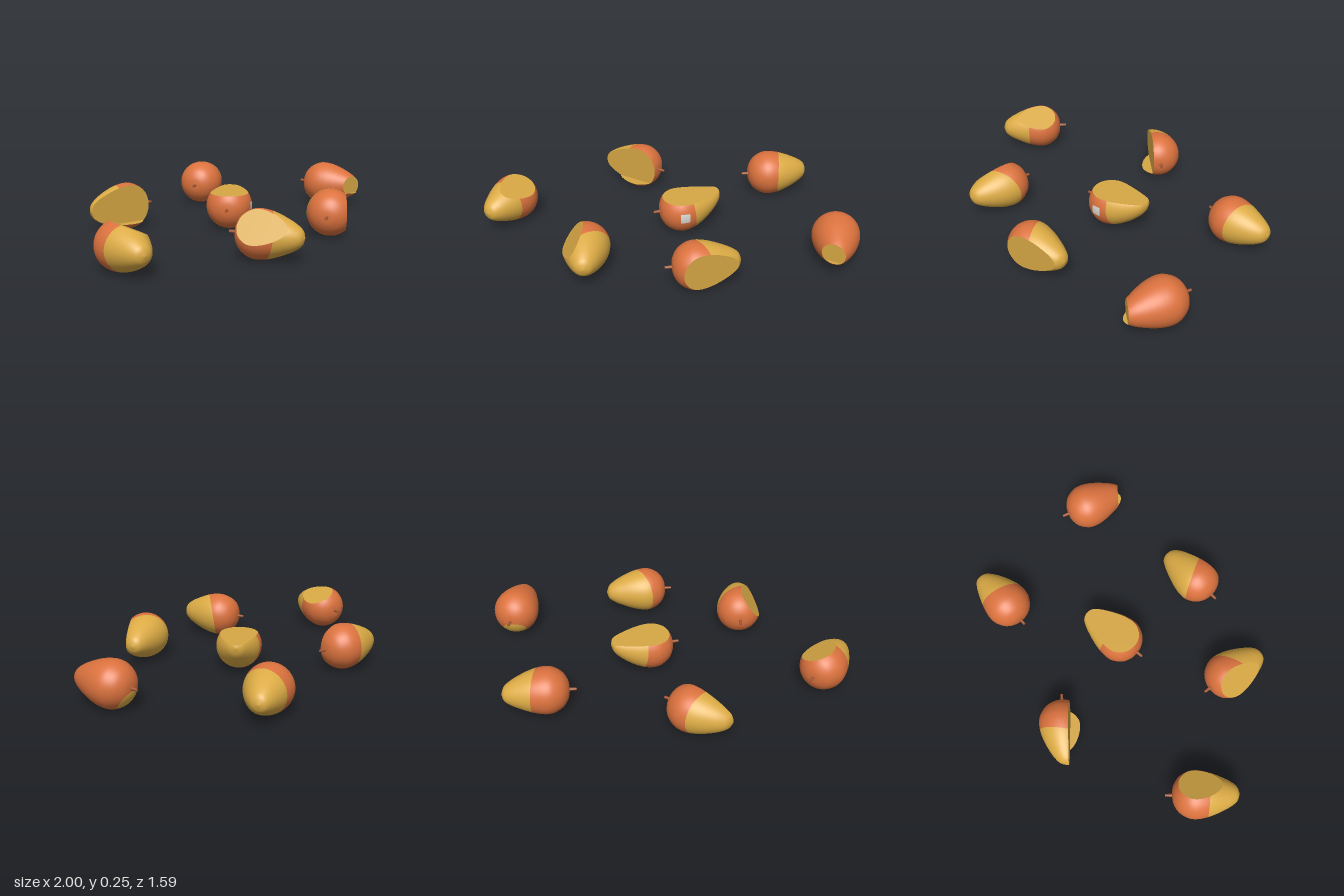
import * as THREE from 'three';
import { mergeVertices } from 'three/addons/utils/BufferGeometryUtils.js';

const V3 = (a) => new THREE.Vector3(...a);
const mat = (name, color) => {
  const m = new THREE.MeshStandardMaterial({ color });
  m.name = name;
  return m;
};

const Y = 0.128; // height of every fruit's axis

// pos: bulb centre (x, z); dir: stem to tip (x, z); bend: sideways drift of the tip
// blush: [normal, offset from centre] - skin beyond this plane is yellow
// cut: [normal, offset from centre]; ledge: height at which the cut stops
const FRUITS = [
  { name: 'wholeFruit', pos: [0.26, -0.62], dir: [0.8, -0.59], bend: [-0.012, 0, -0.016], blush: [[0.9, 0, -0.45], 0.06] },
  { name: 'sideCutFruit', pos: [-0.445, -0.33], dir: [-1, 0], bend: [0, 0, 0.02], blush: [[-1, 0, -0.18], 0.06],
    cut: [[-0.04, 0, 1], 0.037], ledge: 0.04 },
  { name: 'topCutFruit', pos: [0.015, 0.008], dir: [0.68, -0.73], bend: [-0.015, 0.055, -0.01], blush: [[0.66, 0.12, -0.73], 0.05],
    cut: [[0, 1, 0], 0.072], sticker: true },
  { name: 'tipCutFruit', pos: [0.868, -0.145], dir: [0.38, 0.92], bend: [0, 0, 0], blush: [[-0.4, -0.6, -0.7], 0.105],
    cut: [[0, 0, 1], 0.185], ledge: 0.085 },
  { name: 'obliqueCutFruit', pos: [0.355, 0.465], dir: [0.78, -0.62], bend: [-0.01, 0, -0.014], blush: [[0.4, 0, -0.92], 0.025],
    cut: [[0.79, 0, 0.62], 0.081] },
  { name: 'leftCutFruit', pos: [-0.228, 0.583], dir: [0.555, 0.83], bend: [-0.01, 0, 0.006], blush: [[0.85, -0.15, 0.5], 0.045],
    cut: [[-0.67, 0.6, 0.44], 0.082] },
  { name: 'upperCutFruit', pos: [-0.873, 0.352], dir: [-0.03, 1], bend: [0, 0, 0], blush: [[-0.1, 0, 1], 0.07],
    cut: [[0.43, 0.9, 0], 0.088] },
];

// Smooth fruit body as a list of triangles, each corner holding position p and normal n
function bodyTriangles(f) {
  const profile = new THREE.SplineCurve([
    [0, -0.12], [0.045, -0.114], [0.09, -0.087], [0.119, -0.042], [0.127, 0], [0.121, 0.05],
    [0.106, 0.1], [0.085, 0.15], [0.064, 0.19], [0.038, 0.222], [0, 0.236],
  ].map(([r, s]) => new THREE.Vector2(r, s))).getPoints(44);
  profile.forEach((p) => { p.x = Math.max(p.x, 0); });
  let geo = new THREE.LatheGeometry(profile, 48);
  const turn = new THREE.Quaternion().setFromUnitVectors(new THREE.Vector3(0, 1, 0), f.axis);
  const pos = geo.attributes.position, v = new THREE.Vector3();
  for (let i = 0; i < pos.count; i++) {
    v.fromBufferAttribute(pos, i);
    const k = Math.max(v.y, 0) / 0.236;
    v.applyQuaternion(turn).addScaledVector(f.bendVec, k * k).add(f.centre);
    pos.setXYZ(i, v.x, v.y, v.z);
  }
  geo.deleteAttribute('uv');
  geo.deleteAttribute('normal');
  geo = mergeVertices(geo, 1e-5);
  geo.computeVertexNormals();
  geo = geo.toNonIndexed();
  const tris = [];
  for (let i = 0; i < geo.attributes.position.count; i += 3) {
    tris.push([0, 1, 2].map((j) => ({
      p: new THREE.Vector3().fromBufferAttribute(geo.attributes.position, i + j),
      n: new THREE.Vector3().fromBufferAttribute(geo.attributes.normal, i + j),
    })));
  }
  return tris;
}

// Split triangles by a plane: [beyond, behind]
function split(tris, plane) {
  const sides = [[], []];
  for (const tri of tris) {
    [1, -1].forEach((sign, side) => {
      const poly = [];
      tri.forEach((a, i) => {
        const b = tri[(i + 1) % 3];
        const da = sign * plane.distanceToPoint(a.p), db = sign * plane.distanceToPoint(b.p);
        if (da >= 0) poly.push(a);
        if (da * db < 0) {
          const t = da / (da - db);
          poly.push({ p: a.p.clone().lerp(b.p, t), n: a.n.clone().lerp(b.n, t).normalize() });
        }
      });
      for (let i = 1; i + 1 < poly.length; i++) sides[side].push([poly[0], poly[i], poly[i + 1]]);
    });
  }
  return sides;
}

// Press triangles flat onto a plane to close a cut
function flatten(tris, plane, flip) {
  return tris.map((tri) => {
    const flat = tri.map((c) => ({ p: plane.projectPoint(c.p, new THREE.Vector3()), n: plane.normal }));
    return flip ? flat.reverse() : flat;
  });
}

function addMesh(group, name, tris, material) {
  if (!tris.length) return;
  const geo = new THREE.BufferGeometry();
  const corners = tris.flat();
  geo.setAttribute('position', new THREE.Float32BufferAttribute(corners.flatMap((c) => c.p.toArray()), 3));
  geo.setAttribute('normal', new THREE.Float32BufferAttribute(corners.flatMap((c) => c.n.toArray()), 3));
  const mesh = new THREE.Mesh(geo, material);
  mesh.name = name;
  group.add(mesh);
}

export function createModel() {
  const orange = mat('orange skin', 0xdb723e);
  const yellow = mat('yellow skin', 0xdcab45);
  const flesh = mat('flesh', 0xd6a744);
  const brown = mat('stem brown', 0xa85a35);
  const white = mat('sticker white', 0xd6d6d2);
  const model = new THREE.Group();
  model.name = 'fruits';

  for (const f of FRUITS) {
    f.centre = new THREE.Vector3(f.pos[0], Y, f.pos[1]);
    f.axis = new THREE.Vector3(f.dir[0], 0, f.dir[1]).normalize();
    f.bendVec = V3(f.bend);
    const planeAt = ([n, d]) => {
      const normal = V3(n).normalize();
      return new THREE.Plane(normal, -normal.dot(f.centre) - d);
    };
    const group = new THREE.Group();
    group.name = f.name;

    // Cut away a side, leaving a flat face and sometimes a ledge below it
    let skin = bodyTriangles(f);
    if (f.cut) {
      const plane = planeAt(f.cut);
      let [off, kept] = split(skin, plane);
      if (f.ledge) {
        const level = new THREE.Plane(new THREE.Vector3(0, 1, 0), -f.ledge);
        const [above, below] = split(off, level);
        off = above;
        kept = kept.concat(below);
        addMesh(group, 'ledge', flatten(below, level, true), flesh);
      }
      addMesh(group, 'cutFace', flatten(off, plane, false), flesh);
      skin = kept;
    }

    // Two-tone skin
    const [ripe, red] = split(skin, planeAt(f.blush));
    addMesh(group, 'yellowSkin', ripe, yellow);
    addMesh(group, 'orangeSkin', red, orange);

    // Stem
    const stem = new THREE.Mesh(new THREE.CylinderGeometry(0.007, 0.009, 0.045, 10), brown);
    stem.name = 'stem';
    stem.quaternion.setFromUnitVectors(new THREE.Vector3(0, 1, 0), f.axis.clone().negate());
    stem.position.copy(f.centre).addScaledVector(f.axis, -0.134);
    group.add(stem);

    // Small blank sticker that follows the skin
    if (f.sticker) {
      const patch = new THREE.SphereGeometry(0.1285, 8, 8, 2.1, 0.4, Math.PI / 2 - 0.22, 0.42);
      const sticker = new THREE.Mesh(patch, white);
      sticker.name = 'sticker';
      sticker.position.copy(f.centre);
      group.add(sticker);
    }
    model.add(group);
  }
  return model;
}
